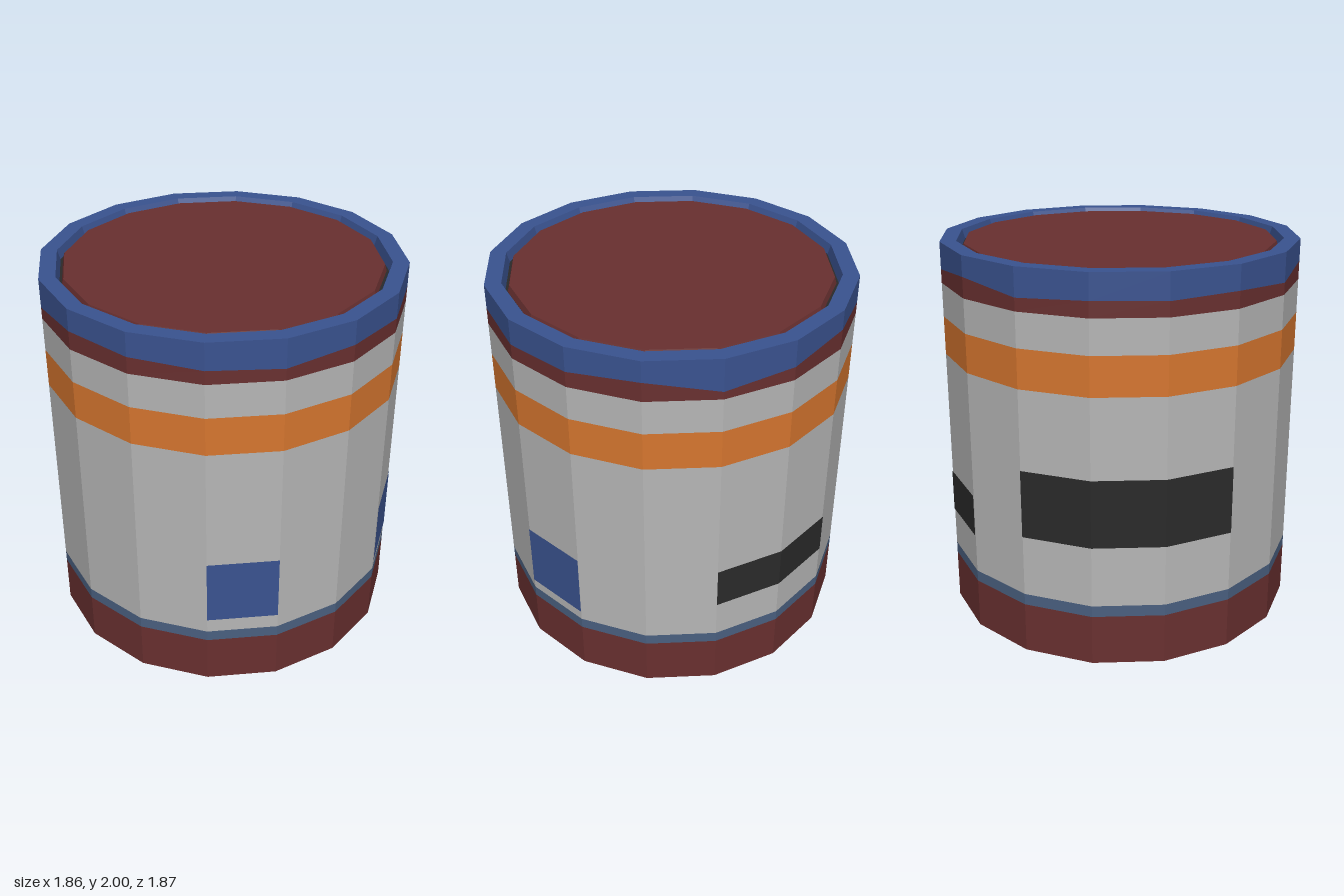
import * as THREE from 'three';

const SIDES = 16, R = 0.93, STEP = (Math.PI * 2) / SIDES;

function material(name, color) {
  const m = new THREE.MeshStandardMaterial({ color, flatShading: true });
  m.name = name;
  return m;
}

export function createModel() {
  const grey = material('light grey', 0xb6b6b6);
  const orange = material('orange', 0xd6762f);
  const red = material('dark red', 0x693030);
  const blue = material('blue', 0x3a5390);
  const slate = material('slate blue', 0x4a6080);
  const black = material('near black', 0x2a2a2a);

  const model = new THREE.Group();
  model.name = 'drum';

  const add = (name, geometry, mat) => {
    const mesh = new THREE.Mesh(geometry, mat);
    mesh.name = name;
    model.add(mesh);
    return mesh;
  };

  // Open wall between two heights, covering `count` facets from facet `first`
  const wall = (name, mat, y0, y1, r = R, first = 0, count = SIDES) => {
    const g = new THREE.CylinderGeometry(r, r, y1 - y0, count, 1, true, first * STEP, count * STEP);
    g.translate(0, (y0 + y1) / 2, 0);
    return add(name, g, mat);
  };

  // Faceted surface of revolution from [radius, height] points
  const lathe = (name, mat, points) =>
    add(name, new THREE.LatheGeometry(points.map(([r, y]) => new THREE.Vector2(r, y)), SIDES), mat);

  // Base with a recessed underside
  lathe('base', red, [[0, 0.085], [0.73, 0.085], [0.82, 0], [R, 0], [R, 0.265]]);

  // Body bands
  wall('baseTrim', slate, 0.265, 0.325);
  wall('lowerBody', grey, 0.325, 1.415);
  wall('stripe', orange, 1.415, 1.615);
  wall('upperBody', grey, 1.615, 1.79);

  // Uneven paint edge under the rim, one height per corner, starting at the front
  const edge = [1.85, 1.875, 1.865, 1.87, 1.89, 1.83, 1.86, 1.895, 1.855,
    1.87, 1.865, 1.875, 1.85, 1.885, 1.875, 1.86];
  const bendRow = (mesh, row) => {
    const p = mesh.geometry.attributes.position;
    for (let i = 0; i <= SIDES; i++) p.setY(row * (SIDES + 1) + i, edge[i % SIDES]);
    mesh.geometry.computeVertexNormals();
  };
  bendRow(wall('rimUndercoat', red, 1.79, 1.86), 0);
  bendRow(wall('rimBand', blue, 1.86, 2), 1);

  // Top rim, narrow groove and lid
  lathe('rim', blue, [[R, 2], [0.847, 2], [0.832, 1.95]]);
  lathe('groove', black, [[0.832, 1.95], [0.82, 1.95]]);
  lathe('lid', red, [[0.82, 1.95], [0.81, 1.985], [0, 1.985]]);

  // Thin labels that follow the facets
  const LABEL_R = R + 0.003;
  wall('frontLabel', blue, 0.405, 0.765, LABEL_R, -1, 1);
  wall('sideLabel', blue, 0.38, 0.74, LABEL_R, 2, 1);
  wall('smallBackPanel', black, 0.53, 0.755, LABEL_R, 5, 2);
  wall('largeBackPanel', black, 0.645, 1.0, LABEL_R, 8, 3);

  return model;
}
